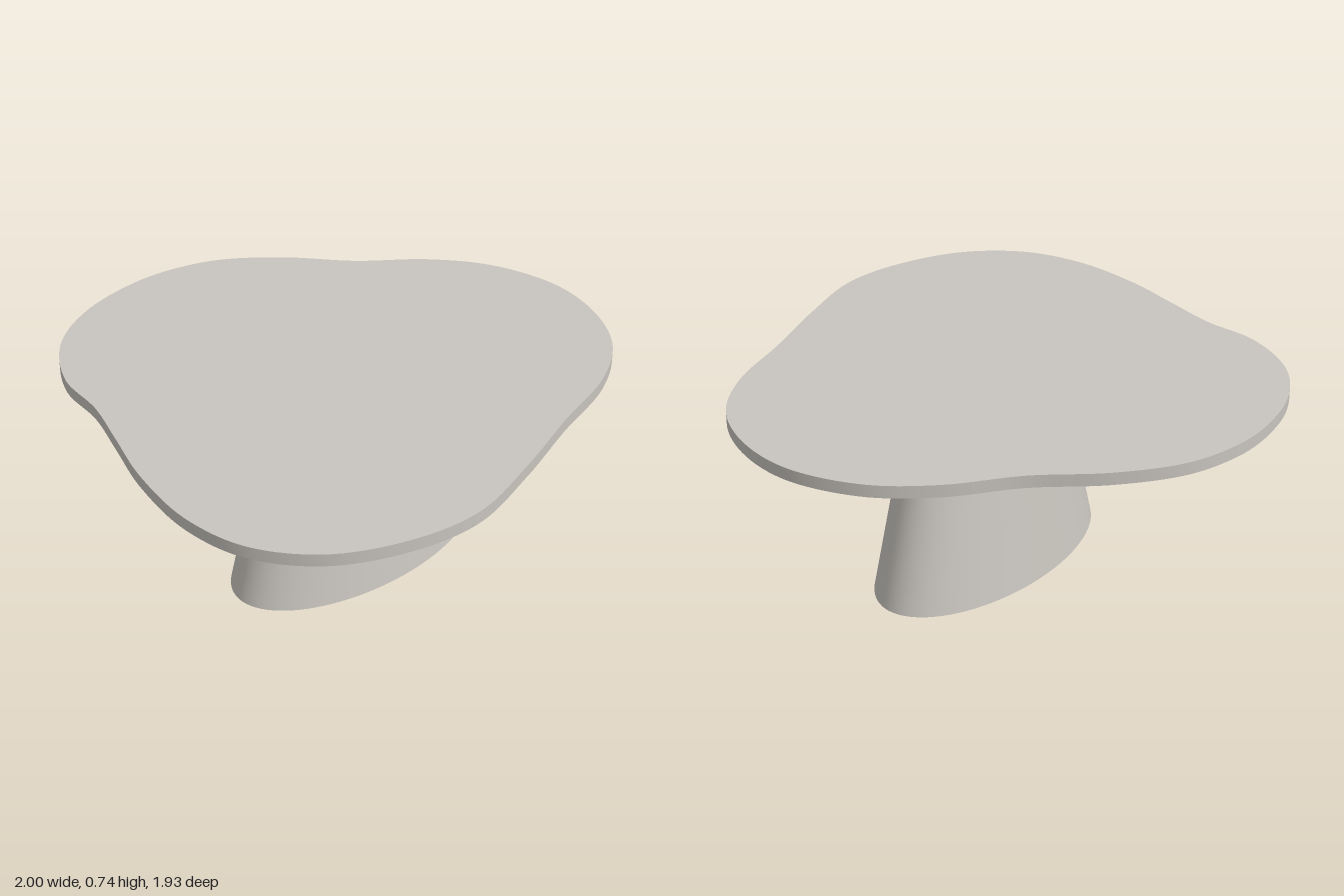
import * as THREE from 'three';
import { toCreasedNormals } from 'three/addons/utils/BufferGeometryUtils.js';

const TOP_Y = 0.735, THICKNESS = 0.045;

// Outline of the free-form top as (x, z) points, joined by a closed smooth curve
const OUTLINE = [
  [-0.13, -0.97], [0.05, -0.95], [0.22, -0.885], [0.41, -0.73], [0.59, -0.515], [0.8, -0.33],
  [0.94, -0.13], [1, 0.14], [0.945, 0.38], [0.81, 0.58], [0.6, 0.71],
  [0.3, 0.795], [0, 0.89], [-0.31, 0.96], [-0.56, 0.92], [-0.81, 0.79],
  [-0.96, 0.59], [-1, 0.35], [-0.95, 0.06], [-0.865, -0.175], [-0.795, -0.37],
  [-0.755, -0.585], [-0.61, -0.8], [-0.395, -0.925],
];

export function createModel() {
  const model = new THREE.Group();
  model.name = 'coffeeTable';
  const stone = new THREE.MeshStandardMaterial({ color: 0xc8c4be });
  stone.name = 'warmGreyStone';

  // Table top: thin slab with three soft lobes
  const curve = new THREE.CatmullRomCurve3(
    OUTLINE.map(([x, z]) => new THREE.Vector3(x, -z, 0)), true);
  const points = curve.getSpacedPoints(180).slice(0, -1);
  const shape = new THREE.Shape(points.map((p) => new THREE.Vector2(p.x, p.y)));
  const slab = new THREE.ExtrudeGeometry(shape, { depth: THICKNESS, bevelEnabled: false });
  slab.rotateX(-Math.PI / 2).translate(0, TOP_Y - THICKNESS, 0);
  const tableTop = new THREE.Mesh(toCreasedNormals(slab, 0.6), stone);
  tableTop.name = 'tableTop';
  model.add(tableTop);

  // Pedestal: tapered cylinder squashed to an oval
  const height = TOP_Y - THICKNESS;
  const cone = new THREE.CylinderGeometry(0.37, 0.555, height, 96);
  cone.scale(1, 1, 0.52).translate(0.025, height / 2, 0.06);
  const pedestal = new THREE.Mesh(cone, stone);
  pedestal.name = 'pedestal';
  model.add(pedestal);

  return model;
}
